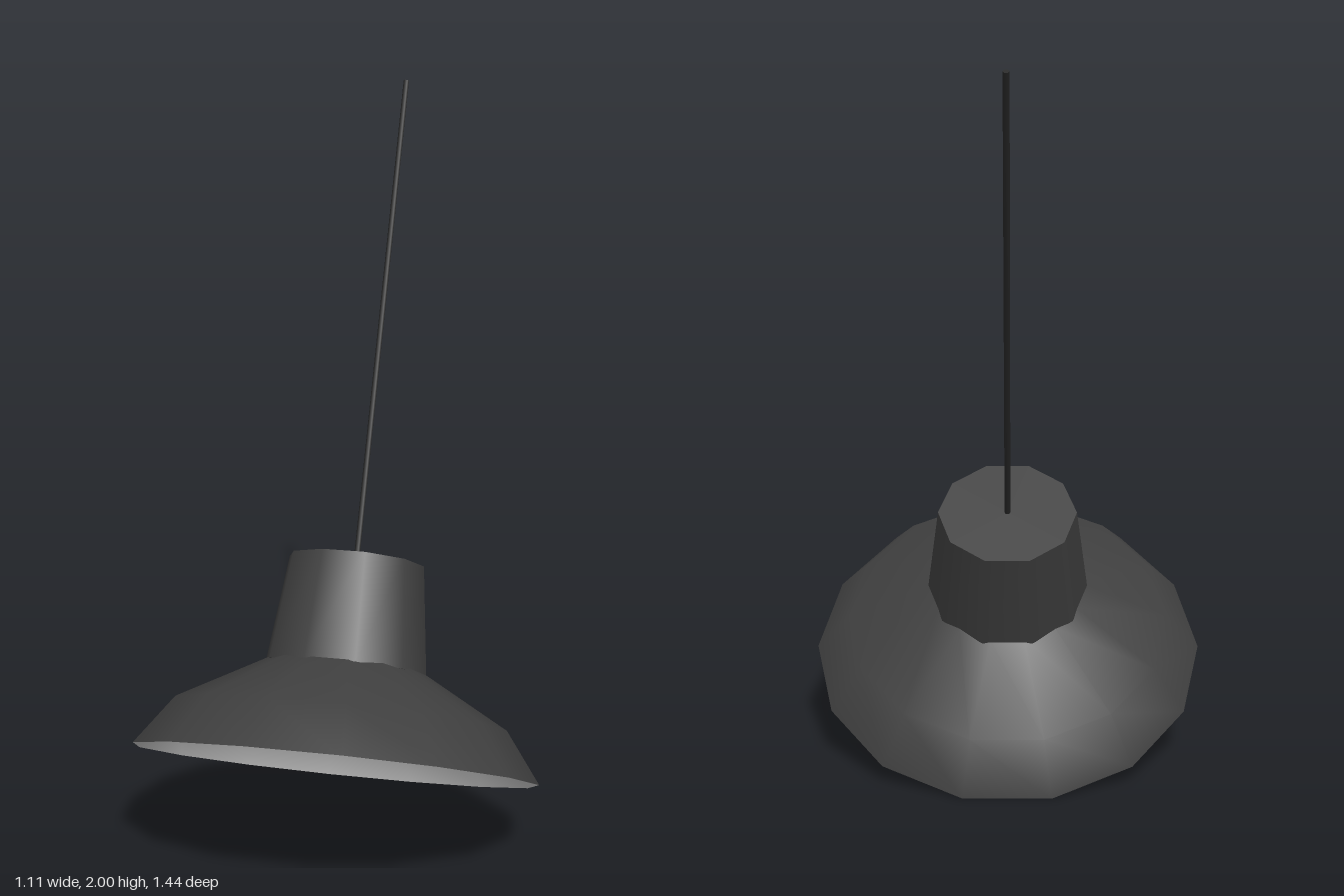
import * as THREE from 'three';

const mat = (name, color) => {
  const m = new THREE.MeshStandardMaterial({ color });
  m.name = name;
  return m;
};

export function createModel() {
  const dark = mat('charcoal', 0x404040);
  const black = mat('cord black', 0x282828);
  const pale = mat('inner light grey', 0xc0c0c0);

  // Everything is built around the lamp axis, with the rim at height 0
  const lamp = new THREE.Group();
  lamp.name = 'pendantLamp';
  const add = (name, geometry, material, y = 0) => {
    const mesh = new THREE.Mesh(geometry, material);
    mesh.name = name;
    mesh.position.y = y;
    lamp.add(mesh);
  };
  const lathe = (points) => new THREE.LatheGeometry(
    points.map(([r, y]) => new THREE.Vector2(r, y)), 14, Math.PI / 2);
  const tube = (name, rTop, rBottom, y0, y1, sides, material) => add(name,
    new THREE.CylinderGeometry(rTop, rBottom, y1 - y0, sides, 1, false, Math.PI / 2),
    material, (y0 + y1) / 2);

  // Shade: dark outer shell and pale lining that share the rim
  add('shadeOuter', lathe([[0.555, 0], [0.457, 0.135], [0.212, 0.272]]), dark);
  add('shadeLining', lathe([[0.14, 0.225], [0.454, 0.133], [0.555, 0]]), pale);

  // Neck, bulb socket standing out of the lining, and hanging cord
  tube('neck', 0.19, 0.225, 0.264, 0.562, 10, dark);
  tube('socket', 0.165, 0.145, 0.174, 0.24, 10, dark);
  tube('cord', 0.008, 0.008, 0.56, 1.98, 6, black);

  // Swing the lamp forwards
  lamp.rotation.x = -0.505;
  lamp.position.set(0, 0.263, 0.245);

  const model = new THREE.Group();
  model.name = 'swingingPendantLamp';
  model.add(lamp);
  return model;
}
